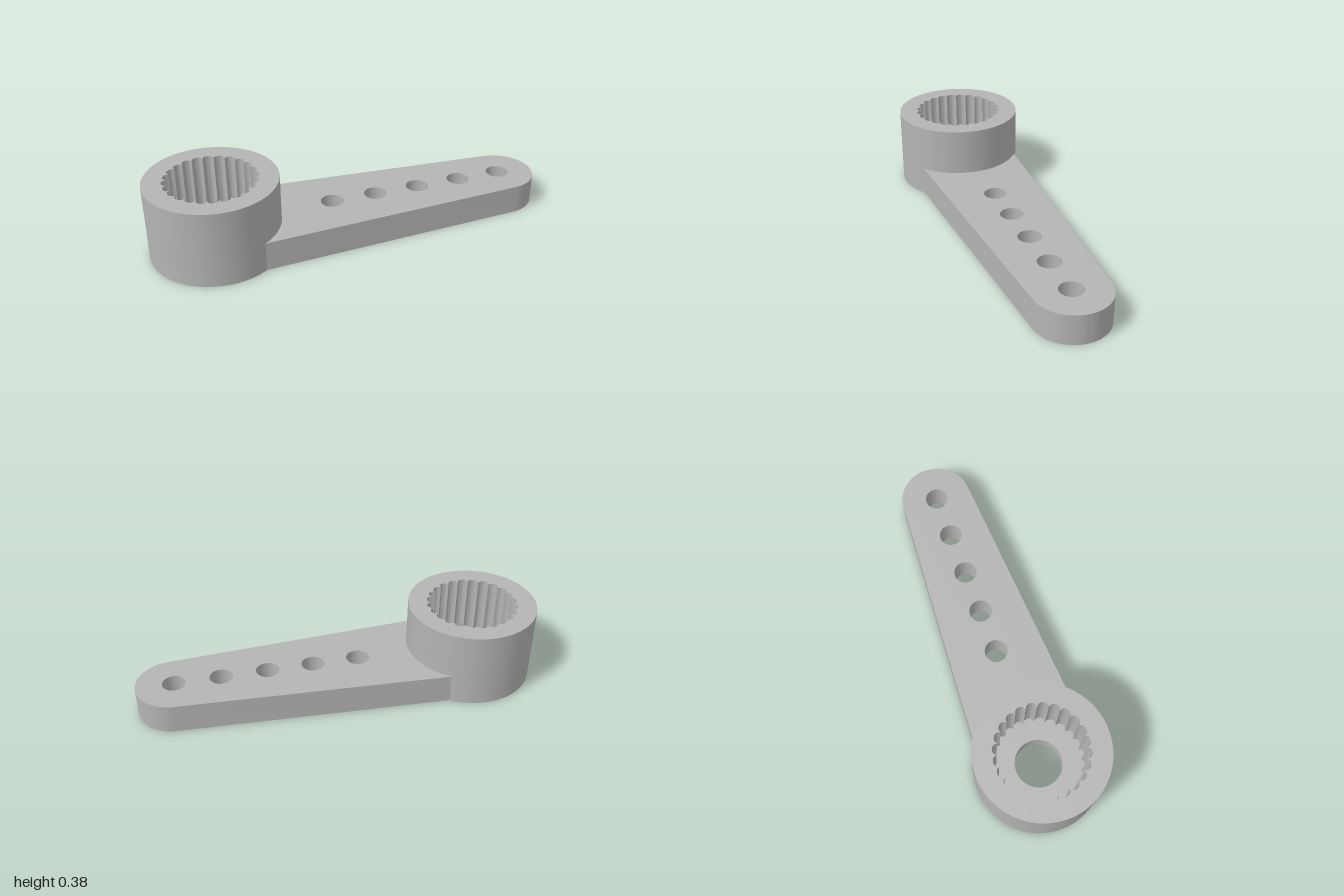
import * as THREE from 'three';
import { toCreasedNormals } from 'three/addons/utils/BufferGeometryUtils.js';

const HUB_X = -0.682, HUB_R = 0.318, HUB_H = 0.382;
const BORE_R = 0.115, FLOOR_Y = 0.09;
const ARM_H = 0.147, TIP_X = 0.82, TIP_R = 0.18;
const TEETH = 24, STEPS = 8;

// Scalloped socket radius: rounded grooves meeting at inward ridges
const splineRadius = (a) => 0.205 + 0.021 * Math.sqrt(Math.abs(Math.sin((a * TEETH) / 2)));

export function createModel() {
  const metal = new THREE.MeshStandardMaterial({ color: 0xb4b4b4, side: THREE.DoubleSide });
  metal.name = 'grey';
  const group = new THREE.Group();
  const add = (name, geometry, parent = group) => {
    const mesh = new THREE.Mesh(geometry, metal);
    mesh.name = name;
    parent.add(mesh);
    return mesh;
  };

  // Hub: socket floor, through bore, underside and outer wall
  const hub = new THREE.Group();
  hub.name = 'hub';
  hub.position.x = HUB_X;
  group.add(hub);
  const profile = [
    [0.226, FLOOR_Y], [BORE_R, FLOOR_Y], [BORE_R, 0], [HUB_R, 0], [HUB_R, HUB_H],
  ].map(([r, y]) => new THREE.Vector2(r, y));
  add('hubBody', toCreasedNormals(new THREE.LatheGeometry(profile, 96), 0.6), hub);

  // Splined socket wall
  const socket = new THREE.CylinderGeometry(1, 1, HUB_H - FLOOR_Y, TEETH * STEPS, 1, true);
  const p = socket.attributes.position;
  for (let i = 0; i < p.count; i++) {
    const a = Math.atan2(p.getZ(i), p.getX(i)), r = splineRadius(a);
    p.setXYZ(i, r * Math.cos(a), p.getY(i) + (HUB_H + FLOOR_Y) / 2, r * Math.sin(a));
  }
  socket.scale(1, 1, 1);
  add('splinedSocket', toCreasedNormals(socket, 0.7), hub);

  // Hub top rim with the scalloped opening
  const rim = new THREE.Shape().absarc(0, 0, HUB_R, 0, Math.PI * 2, false);
  const opening = [];
  for (let i = 0; i < TEETH * STEPS; i++) {
    const a = (i / (TEETH * STEPS)) * Math.PI * 2, r = splineRadius(a);
    opening.push(new THREE.Vector2(r * Math.cos(a), r * Math.sin(a)));
  }
  rim.holes.push(new THREE.Path(opening));
  const rimGeometry = new THREE.ShapeGeometry(rim, 48);
  rimGeometry.rotateX(-Math.PI / 2).translate(0, HUB_H, 0);
  add('hubRim', rimGeometry, hub);

  // Tapered arm: starts on the hub wall and ends in a tangent round tip
  const start = Math.acos((-0.5 - HUB_X) / HUB_R);
  const tilt = Math.PI / 2 - 0.0617;
  const outline = new THREE.Shape();
  outline.absarc(HUB_X, 0, HUB_R, start, -start, true);
  outline.absarc(TIP_X, 0, TIP_R, -tilt, tilt, false);
  outline.closePath();

  // Row of five linkage holes
  for (let i = 0; i < 5; i++) {
    const x = -0.095 + i * 0.2275;
    outline.holes.push(new THREE.Path().absarc(x, 0, 0.057, 0, Math.PI * 2, true));
  }
  const arm = new THREE.ExtrudeGeometry(outline, { depth: ARM_H, bevelEnabled: false, curveSegments: 32 });
  arm.rotateX(-Math.PI / 2);
  add('arm', toCreasedNormals(arm, 0.6));

  return group;
}
